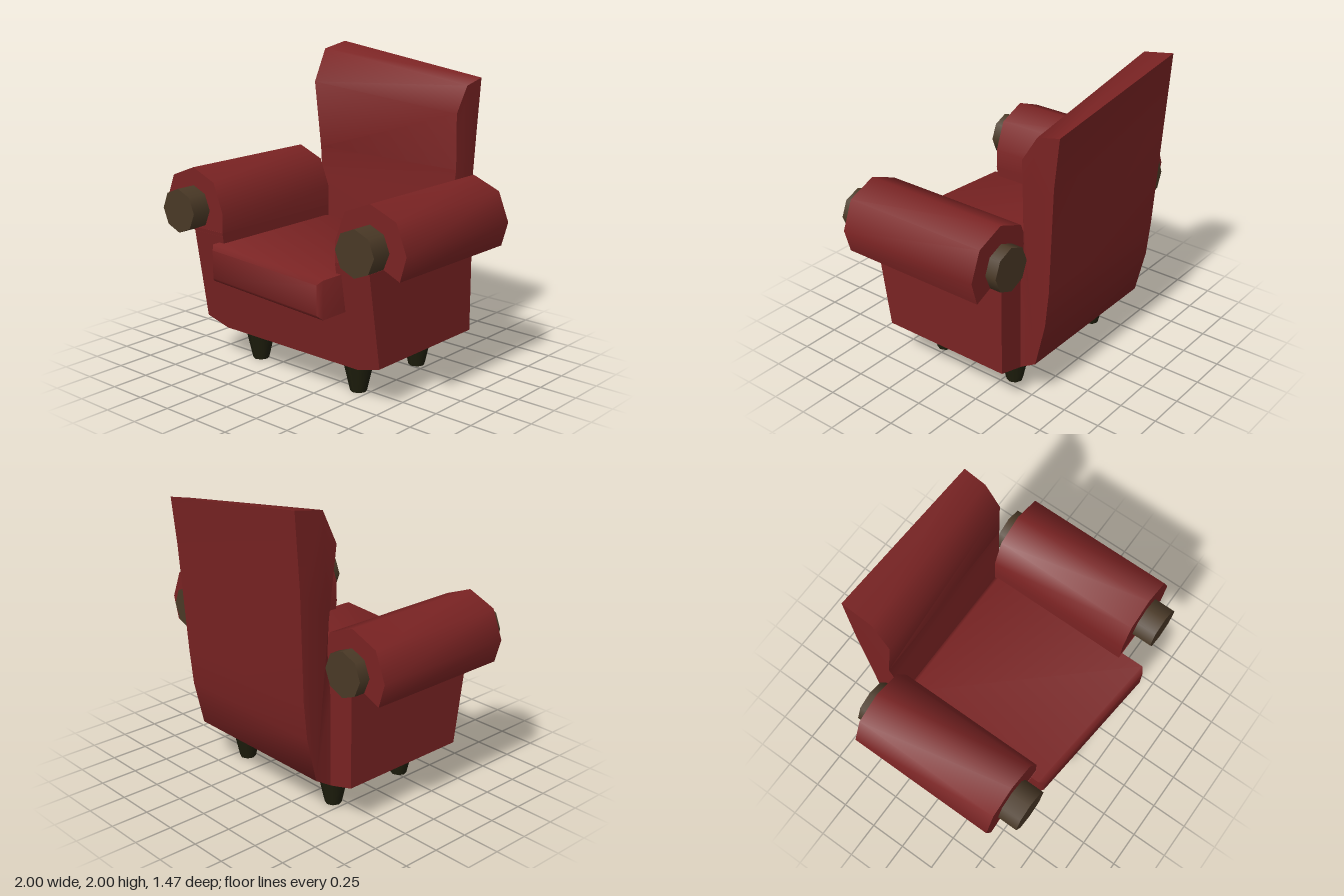
import * as THREE from 'three';
import { toCreasedNormals } from 'three/addons/utils/BufferGeometryUtils.js';

const red = new THREE.MeshStandardMaterial({ color: 0x7a2323 });
red.name = 'redUpholstery';
const brown = new THREE.MeshStandardMaterial({ color: 0x4a3926 });
brown.name = 'brownWood';
const dark = new THREE.MeshStandardMaterial({ color: 0x1f1f0d });
dark.name = 'darkWood';

const CREASE = 1.0;

function extrude(points, depth, options = {}) {
  const shape = new THREE.Shape(points.map(([x, y]) => new THREE.Vector2(x, y)));
  return new THREE.ExtrudeGeometry(shape, { depth, bevelEnabled: false, ...options });
}

// Moves every vertex by a rule, then rebuilds the normals
function reshape(geometry, rule) {
  const pos = geometry.attributes.position;
  const v = new THREE.Vector3();
  for (let i = 0; i < pos.count; i++) {
    v.fromBufferAttribute(pos, i);
    rule(v);
    pos.setXYZ(i, v.x, v.y, v.z);
  }
  return toCreasedNormals(geometry, CREASE);
}

function add(group, name, geometry, material) {
  const mesh = new THREE.Mesh(geometry, material);
  mesh.name = name;
  group.add(mesh);
  return mesh;
}

export function createModel() {
  const chair = new THREE.Group();
  chair.name = 'armchair';

  // Body: U-shaped section with a front that leans outward
  const half = [[0.56, 0.22], [0.735, 0.27], [0.735, 0.9], [0.475, 0.9], [0.475, 0.62]];
  const mirrored = half.map(([x, y]) => [-x, y]).reverse();
  const body = extrude([...half, ...mirrored], 1);
  add(chair, 'body', reshape(body, (v) => {
    v.z = v.z > 0.5 ? 0.45 + (v.y - 0.22) * 0.16 : -0.45;
  }), red);

  // Backrest: side profile as [z, y], swept across x
  const profile = [
    [-0.45, 0.22], [-0.45, 0.8], [-0.475, 1.1], [-0.485, 1.29], [-0.425, 1.75],
    [-0.53, 1.965], [-0.735, 2], [-0.7, 1.53], [-0.66, 0.83], [-0.635, 0.59], [-0.565, 0.29],
  ];
  const back = extrude(profile.map(([z, y]) => [-z, y]), 1.15);
  back.rotateY(Math.PI / 2).translate(-0.575, 0, 0);
  add(chair, 'backrest', reshape(back, (v) => {
    // The top slopes down toward +x, and the lower part is a little narrower
    if (v.x > 0 && v.y > 1.7) {
      if (v.z > -0.7) v.z -= 0.052;
      v.y -= v.y > 1.9 ? 0.15 : 0.1;
    }
    if (v.y < 1.25) v.x *= 0.965;
  }), red);

  // Cushion with chamfered edges and a slanted front
  const b = 0.028;
  const w = 0.515 - b;
  const cushion = extrude([[-w, 0.59 + b], [w, 0.59 + b], [w, 0.83 - b], [-w, 0.83 - b]], 1.08, {
    bevelEnabled: true, bevelSegments: 1, bevelSize: b, bevelThickness: b,
  });
  cushion.translate(0, 0, -0.425);
  add(chair, 'seatCushion', reshape(cushion, (v) => {
    if (v.z > 0) v.z += 0.1 * v.x;
  }), red);

  for (const side of [1, -1]) {
    const name = side > 0 ? 'left' : 'right';

    // Padded arm wrapped over a wooden roll
    const armOutline = [
      [0.475, 0.875], [0.735, 0.875], [0.838, 0.925], [0.955, 0.875], [1, 1.03],
      [0.925, 1.215], [0.735, 1.29], [0.548, 1.215], [0.475, 1.03],
    ].map(([x, y]) => [x * side, y]);
    const arm = extrude(armOutline, 1.005).translate(0, 0, -0.45);
    add(chair, name + 'Arm', toCreasedNormals(arm, CREASE), red);

    const roll = new THREE.CylinderGeometry(0.144, 0.144, 1.215, 8).rotateX(Math.PI / 2);
    add(chair, name + 'ArmRoll', roll, brown).position.set(0.735 * side, 1.028, 0.0825);

    // Tapered feet
    for (const [place, z] of [['Front', 0.28], ['Rear', -0.305]]) {
      const leg = new THREE.CylinderGeometry(0.105, 0.053, 0.23, 8);
      add(chair, name + place + 'Leg', leg, dark).position.set(0.425 * side, 0.115, z);
    }
  }
  return chair;
}
